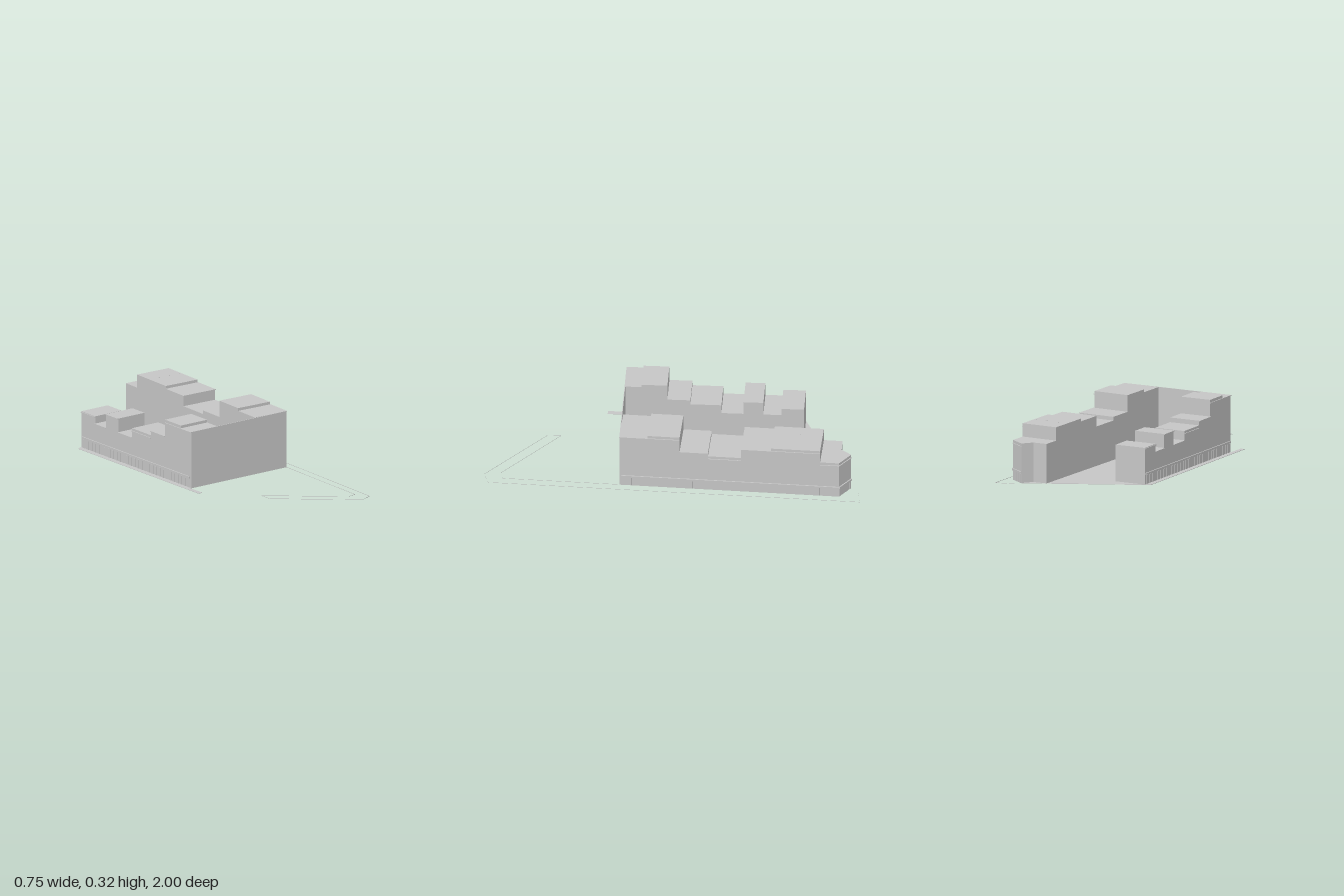
import * as THREE from 'three';

const stone = new THREE.MeshStandardMaterial({ color: 0xc6c6c6 });
stone.name = 'pale grey';
const stoneOpen = new THREE.MeshStandardMaterial({ color: 0xc6c6c6, side: THREE.DoubleSide });
stoneOpen.name = 'pale grey';

// Upright prism from a plan outline of [x, z] points
function prism(name, plan, y0, y1) {
  const shape = new THREE.Shape(plan.map(([x, z]) => new THREE.Vector2(x, -z)));
  const geo = new THREE.ExtrudeGeometry(shape, { depth: y1 - y0, bevelEnabled: false });
  geo.rotateX(-Math.PI / 2);
  geo.translate(0, y0, 0);
  const mesh = new THREE.Mesh(geo, stone);
  mesh.name = name;
  return mesh;
}

// Bar lying along a wall from plan point a to b, centred on the wall line
function bar(name, a, b, y0, y1, depth) {
  const dx = b[0] - a[0], dz = b[1] - a[1];
  const mesh = new THREE.Mesh(new THREE.BoxGeometry(depth, y1 - y0, Math.hypot(dx, dz)), stone);
  mesh.position.set((a[0] + b[0]) / 2, (y0 + y1) / 2, (a[1] + b[1]) / 2);
  mesh.rotation.y = Math.atan2(dx, dz);
  mesh.name = name;
  return mesh;
}

// Street-level piers under a belt course
function arcade(name, a, b, count) {
  const group = new THREE.Group();
  group.name = name;
  const at = t => [a[0] + (b[0] - a[0]) * t, a[1] + (b[1] - a[1]) * t];
  for (let i = 0; i < count; i++) {
    group.add(bar('pier', at((i + 0.25) / count), at((i + 0.75) / count), 0.002, 0.05, 0.005));
  }
  group.add(bar('beltCourse', a, b, 0.052, 0.063, 0.012));
  return group;
}

// Thin upright kerb following a plan path
function kerb(name, path) {
  const pos = [], idx = [];
  path.forEach(([x, z], i) => {
    pos.push(x, 0, z, x, 0.002, z);
    if (i) idx.push(2 * i - 2, 2 * i, 2 * i - 1, 2 * i, 2 * i + 1, 2 * i - 1);
  });
  const geo = new THREE.BufferGeometry();
  geo.setAttribute('position', new THREE.Float32BufferAttribute(pos, 3));
  geo.setIndex(idx);
  const flat = geo.toNonIndexed();
  flat.computeVertexNormals();
  const mesh = new THREE.Mesh(flat, stoneOpen);
  mesh.name = name;
  return mesh;
}

export function createModel() {
  const model = new THREE.Group();
  model.name = 'terracedBlock';

  // Ground slab with the side pavement
  model.add(prism('groundSlab', [[-0.375, 0.38], [-0.35, 0.38], [-0.35, 0.28], [0.29, 0.28],
    [0.33, -0.885], [0.247, -0.945], [-0.375, -0.658]], 0, 0.002));

  // Front wall closing the courtyard
  model.add(prism('frontWall', [[-0.345, 0.28], [0.29, 0.28], [0.29, 0.276], [-0.345, 0.276]], 0, 0.31));

  // Left wing: [front z, back z, roof height, cornice height]
  const left = [
    [0.28, 0.19, 0.31, 0.31], [0.19, 0.053, 0.325, 0.31], [0.053, -0.069, 0.235, 0.235],
    [-0.069, -0.233, 0.21, 0.197], [-0.233, -0.35, 0.16, 0.16], [-0.35, -0.455, 0.235, 0.235],
    [-0.455, -0.55, 0.16, 0.16], [-0.55, -0.67, 0.2, 0.197],
  ];
  const leftWing = new THREE.Group();
  leftWing.name = 'leftWing';
  for (const [z0, z1, roof, ledge] of left) {
    leftWing.add(prism('terrace', [[-0.345, z0], [-0.17, z0], [-0.17, z1], [-0.345, z1]], 0, roof));
    leftWing.add(bar('cornice', [-0.345, z0], [-0.345, z1], ledge - 0.004, ledge, 0.01));
  }
  leftWing.add(arcade('leftArcade', [-0.345, 0.27], [-0.345, -0.66], 30));
  model.add(leftWing);

  // Right wing, slightly skewed in plan
  const skew = z => (0.28 - z) * 0.0343;
  const outer = z => [0.29 + skew(z), z];
  const inner = z => [0.085 + skew(z), z - 0.008];
  const right = [
    [0.28, 0.13, 0.31, 0.31], [0.13, -0.04, 0.325, 0.31], [-0.04, -0.19, 0.235, 0.235],
    [-0.19, -0.365, 0.215, 0.2], [-0.365, -0.525, 0.272, 0.272], [-0.525, -0.785, 0.287, 0.272],
  ];
  const rightWing = new THREE.Group();
  rightWing.name = 'rightWing';
  for (const [z0, z1, roof, ledge] of right) {
    rightWing.add(prism('terrace', [outer(z0), outer(z1), inner(z1), inner(z0)], 0, roof));
    rightWing.add(bar('cornice', outer(z0), outer(z1), ledge - 0.004, ledge, 0.01));
  }

  // Angled rear end of the right wing
  const corner = [0.33, -0.885], tip = [0.247, -0.945];
  rightWing.add(prism('rearEnd', [outer(-0.785), corner, tip, [0.205, -0.892],
    [0.125, -0.892], inner(-0.785)], 0, 0.215));
  rightWing.add(bar('cornice', outer(-0.785), corner, 0.196, 0.2, 0.01));
  rightWing.add(bar('cornice', corner, tip, 0.196, 0.2, 0.01));
  rightWing.add(arcade('rightArcade', outer(0.27), corner, 36));
  rightWing.add(arcade('rearArcade', corner, tip, 4));

  // Small roof vents
  for (const x of [0.175, 0.245, 0.31]) {
    const vent = new THREE.Mesh(new THREE.BoxGeometry(0.008, 0.003, 0.005), stone);
    vent.position.set(x, 0.2875, -0.672);
    vent.name = 'roofVent';
    rightWing.add(vent);
  }
  model.add(rightWing);

  // Kerb lines of the street
  model.add(kerb('outerKerb', [[0.268, -0.98], [0.375, -1], [0.312, 0.972], [0.24, 1],
    [-0.135, 0.686], [-0.135, 0.615]]));
  model.add(kerb('innerKerb', [[-0.135, 0.615], [0.22, 0.91], [0.27, 0.9], [0.29, 0.28]]));

  return model;
}
